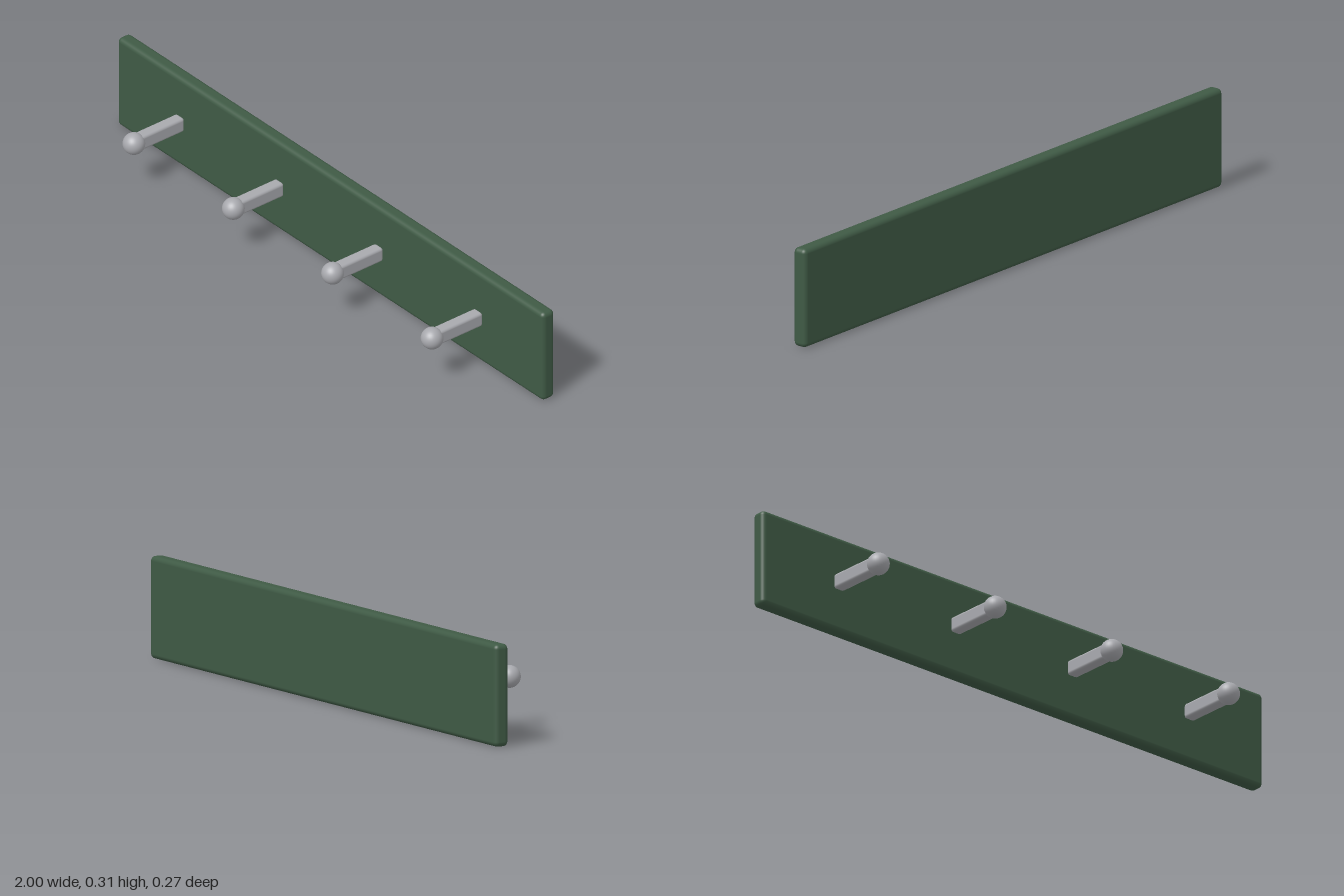
import * as THREE from 'three';
import { RoundedBoxGeometry } from 'three/addons/geometries/RoundedBoxGeometry.js';

export function createModel() {
  const group = new THREE.Group();
  group.name = 'coatRack';

  const green = new THREE.MeshStandardMaterial({ color: 0x3f5a45 });
  green.name = 'dark green paint';
  const metal = new THREE.MeshStandardMaterial({ color: 0xa8a9ae });
  metal.name = 'grey metal';

  const add = (parent, name, geometry, material, x, y, z) => {
    const mesh = new THREE.Mesh(geometry, material);
    mesh.name = name;
    mesh.position.set(x, y, z);
    parent.add(mesh);
  };

  // Wall board with softened edges
  const midY = 0.156;
  add(group, 'backBoard', new RoundedBoxGeometry(2, 0.312, 0.048, 4, 0.015), green, 0, midY, -0.109);

  // Four square pegs, each ending in a round knob
  const pegGeometry = new RoundedBoxGeometry(0.039, 0.048, 0.185, 3, 0.009);
  const knobGeometry = new THREE.SphereGeometry(0.0345, 32, 20);
  [-0.7, -0.233, 0.233, 0.7].forEach((x, i) => {
    const hook = new THREE.Group();
    hook.name = `hook${i + 1}`;
    hook.position.set(x, midY + 0.001, 0);
    add(hook, 'peg', pegGeometry, metal, 0, 0, 0.0075);
    add(hook, 'knob', knobGeometry, metal, 0, 0, 0.0985);
    group.add(hook);
  });

  return group;
}
